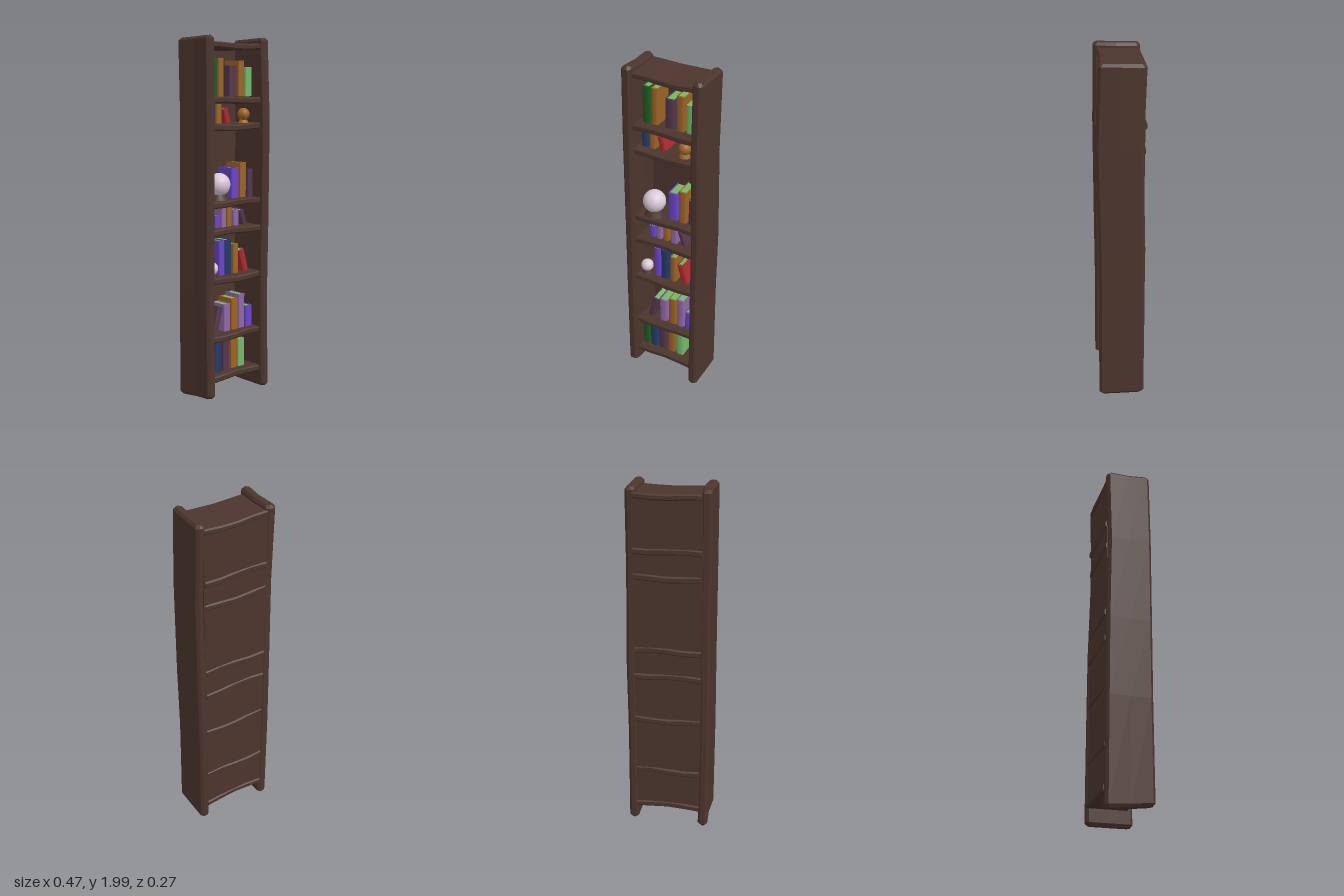
import * as THREE from 'three';

const COLORS = {
  wood: 0x4c352d, orb: 0xd8c8d8, green: 0x1f5a22, orange: 0x9c6426, plum: 0x55364a,
  mint: 0x74b868, navy: 0x253a68, red: 0xa82a30, purple: 0x6a45c8, lilac: 0x9068a8,
};

// Flat-shaded solid through matching rings of points, capped at both ends
function loft(rings) {
  const pos = [], n = rings[0].length;
  const tri = (a, b, c) => pos.push(...a, ...b, ...c);
  for (let r = 0; r < rings.length - 1; r++) {
    const A = rings[r], B = rings[r + 1];
    for (let i = 0; i < n; i++) {
      const j = (i + 1) % n;
      tri(A[i], A[j], B[j]);
      tri(A[i], B[j], B[i]);
    }
  }
  const mid = (R) => [0, 1, 2].map((k) => R.reduce((s, p) => s + p[k], 0) / n);
  const first = rings[0], last = rings[rings.length - 1];
  for (let i = 0; i < n; i++) {
    const j = (i + 1) % n;
    tri(mid(first), first[j], first[i]);
    tri(mid(last), last[i], last[j]);
  }
  const g = new THREE.BufferGeometry();
  g.setAttribute('position', new THREE.Float32BufferAttribute(pos, 3));
  g.computeVertexNormals();
  return g;
}

// Bevelled upright plank; rows are [y, centre x, front z, back z, inset, tilt]
function sidePanel(rows, w, bow) {
  return loft(rows.map(([y, cx, f, k, inset, tilt]) => {
    const h = w - inset, zf = f - inset, zb = k + inset, b = 0.014;
    return [
      [h, zf - b], [h + bow, 0], [h, zb + b], [h - b, zb], [-h + b, zb],
      [-h, zb + b], [-h + bow, 0], [-h, zf - b], [-h + b, zf], [h - b, zf],
    ].map(([x, z]) => [cx + x, y + tilt * z, z]);
  }));
}

// Slightly warped, bevelled horizontal board
function shelfBoard(top, thick, seed) {
  const rings = [];
  for (let i = 0; i <= 4; i++) {
    const x = -0.185 + i * 0.0925;
    const y = top + 0.004 * Math.sin(i * 1.5 + seed) - 0.003;
    const zf = 0.102 + 0.003 * Math.cos(i * 1.7 + seed);
    const zb = -0.129 + 0.004 * Math.sin(i * 1.3 + seed);
    const lo = y - thick, b = 0.007;
    rings.push([
      [y, zb + b], [y, zf - b], [y - b, zf], [lo + b, zf],
      [lo, zf - b], [lo, zb + b], [lo + b, zb], [y - b, zb],
    ].map(([py, z]) => [x, py, z]));
  }
  return loft(rings);
}

// Cover wrapped around a page block, with a rounded spine facing forward
function book(w, h, cover, pages) {
  const g = new THREE.Group(), d = 0.116, t = 0.004, a = w / 2;
  const s = new THREE.Shape();
  s.moveTo(-a, d);
  s.lineTo(-a, 0.007);
  s.quadraticCurveTo(-a * 0.8, 0, 0, 0);
  s.quadraticCurveTo(a * 0.8, 0, a, 0.007);
  s.lineTo(a, d);
  s.lineTo(a - t, d);
  s.lineTo(a - t, 0.012);
  s.lineTo(-a + t, 0.012);
  s.lineTo(-a + t, d);
  const geo = new THREE.ExtrudeGeometry(s, { depth: h, bevelEnabled: false, curveSegments: 3 });
  geo.rotateX(-Math.PI / 2);
  geo.translate(0, -h / 2, 0.057);
  const c = new THREE.Mesh(geo, cover);
  c.name = 'bookCover';
  const p = new THREE.Mesh(new THREE.BoxGeometry(w - 2 * t, h - 0.008, d - 0.016), pages);
  p.position.z = 0.057 - 0.012 - (d - 0.016) / 2;
  p.name = 'bookPages';
  g.add(c, p);
  return g;
}

// Books per shelf height: [centre x, width, height, colour, tilt]
const BOOKS = [
  [1.68, [[-0.125, 0.042, 0.205, 'green'], [-0.075, 0.038, 0.205, 'orange'], [0.013, 0.052, 0.165, 'plum'],
    [0.076, 0.044, 0.195, 'orange'], [0.132, 0.045, 0.16, 'mint']]],
  [1.535, [[-0.136, 0.036, 0.105, 'navy'], [-0.09, 0.036, 0.105, 'orange'], [-0.034, 0.035, 0.078, 'red', 0.27]]],
  [1.12, [[0.03, 0.052, 0.17, 'purple'], [0.09, 0.046, 0.195, 'orange'], [0.147, 0.038, 0.155, 'plum']]],
  [0.965, [[-0.1, 0.037, 0.07, 'purple'], [-0.056, 0.034, 0.115, 'lilac'], [-0.013, 0.034, 0.11, 'orange'],
    [0.037, 0.04, 0.09, 'lilac'], [0.09, 0.03, 0.085, 'plum', 0.33]]],
  [0.695, [[-0.07, 0.038, 0.195, 'purple'], [-0.022, 0.046, 0.195, 'navy'], [0.034, 0.038, 0.165, 'orange'],
    [0.095, 0.04, 0.127, 'red', 0.27]]],
  [0.37, [[-0.1, 0.035, 0.145, 'plum', -0.26], [-0.031, 0.048, 0.155, 'lilac'], [0.028, 0.048, 0.18, 'orange'],
    [0.082, 0.044, 0.195, 'lilac'], [0.138, 0.048, 0.12, 'purple']]],
  [0.145, [[-0.15, 0.042, 0.185, 'green'], [-0.097, 0.048, 0.185, 'navy'], [-0.037, 0.048, 0.165, 'plum'],
    [0.024, 0.044, 0.185, 'orange'], [0.08, 0.046, 0.16, 'mint']]],
];

export function createModel() {
  const model = new THREE.Group();
  model.name = 'bookcase';
  const mats = {};
  for (const [name, color] of Object.entries(COLORS)) {
    mats[name] = new THREE.MeshStandardMaterial({ color });
    mats[name].name = name;
  }
  const add = (name, geo, mat, x = 0, y = 0, z = 0) => {
    const m = new THREE.Mesh(geo, mats[mat]);
    m.name = name;
    m.position.set(x, y, z);
    model.add(m);
    return m;
  };

  // Side panels, gently warped along their height
  add('rightPanel', sidePanel([
    [0.018, -0.207, 0.127, -0.13, 0.011, 0.1], [0.035, -0.207, 0.129, -0.13, 0, 0.08],
    [0.6, -0.21, 0.125, -0.128, 0, 0], [1.05, -0.207, 0.127, -0.125, 0, 0],
    [1.55, -0.206, 0.128, -0.118, 0, 0], [1.98, -0.205, 0.122, -0.13, 0, 0.03],
    [1.995, -0.203, 0.122, -0.13, 0.011, 0.03],
  ], 0.028, 0.008), 'wood');
  add('leftPanel', sidePanel([
    [0.014, 0.203, 0.13, -0.127, 0.011, 0], [0.03, 0.203, 0.13, -0.128, 0, 0],
    [0.6, 0.2, 0.125, -0.128, 0, 0], [1.0, 0.205, 0.127, -0.125, 0, 0],
    [1.55, 0.2, 0.136, -0.112, 0, 0], [1.98, 0.197, 0.12, -0.125, 0, 0.03],
    [1.995, 0.197, 0.12, -0.125, 0.011, 0.03],
  ], 0.027, 0.001), 'wood');

  // Back panel, shelves and top board
  add('backPanel', new THREE.BoxGeometry(0.38, 1.82, 0.018), 'wood', 0, 1.035, -0.112);
  BOOKS.forEach(([y], i) => add('shelf', shelfBoard(y, 0.035, i * 1.9), 'wood'));
  add('topBoard', shelfBoard(1.968, 0.032, 1.2), 'wood');

  // Books
  for (const [y, row] of BOOKS) {
    for (const [x, w, h, color, tilt = 0] of row) {
      const b = book(w, h, mats[color], mats.mint);
      const rise = (h * Math.cos(tilt) + w * Math.abs(Math.sin(tilt))) / 2;
      b.position.set(x, y + rise, 0);
      b.rotation.z = tilt;
      b.name = 'book';
      model.add(b);
    }
  }

  // Ornamental balls on round stands: [x, centre y, radius, stand y, stand radius, ball, stand]
  for (const [x, y, r, sy, sr, ball, stand] of [
    [-0.087, 1.203, 0.064, 1.118, 0.057, 'orb', 'wood'],
    [-0.14, 0.742, 0.036, 0.694, 0.032, 'orb', 'wood'],
    [0.098, 1.583, 0.034, 1.534, 0.03, 'orange', 'orange'],
  ]) {
    add('ball', new THREE.SphereGeometry(r, 20, 14), ball, x, y, 0.045);
    const h = r * 0.5;
    add('ballStand', new THREE.CylinderGeometry(sr * 0.72, sr, h, 12), stand, x, sy + h / 2, 0.045);
  }
  return model;
}
